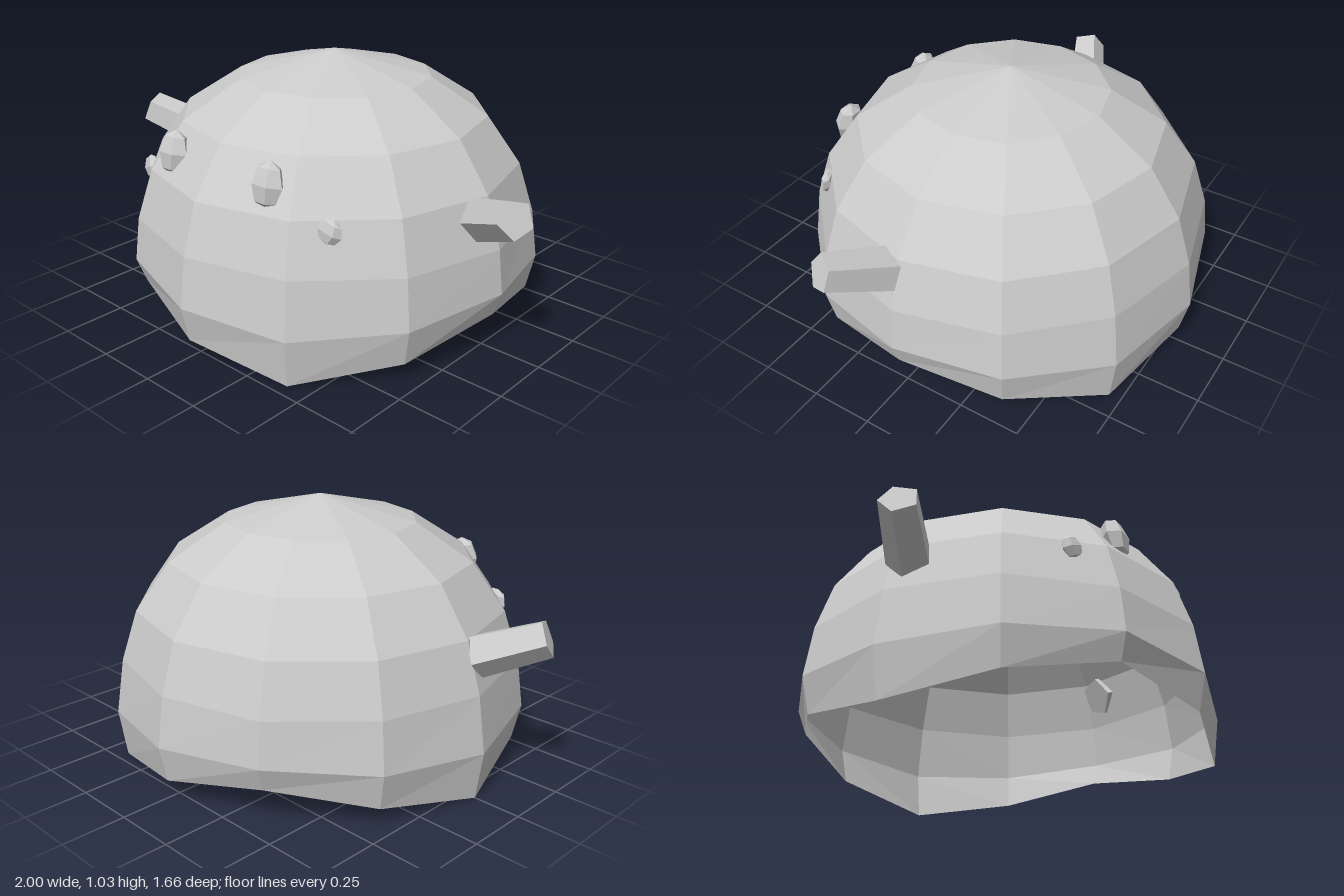
import * as THREE from 'three';

const SIDES = 12;

function material(side = THREE.FrontSide) {
  return new THREE.MeshStandardMaterial({ color: 0xcccccc, flatShading: true, side });
}

// Open shell of 12-sided rings; the lowest rings wave three times around.
function domeGeometry() {
  // [radius, height, radius wave, height wave], top to bottom
  const rings = [
    [0.385, 0.935, 0, 0],
    [0.61, 0.79, 0, 0],
    [0.742, 0.605, 0, 0],
    [0.805, 0.41, 0, 0],
    [0.832, 0.213, -0.006, 0.023],
    [0.8, 0.07, -0.01, 0.07],
  ];
  const positions = [0, 1.03, 0];
  const index = [];
  rings.forEach(([r, y, dr, dy], j) => {
    for (let k = 0; k < SIDES; k++) {
      const a = (k / SIDES) * Math.PI * 2;
      const wave = Math.cos(3 * a);
      const radius = r + dr * wave;
      positions.push(radius * Math.cos(a), y + dy * wave, radius * Math.sin(a));
      const next = (k + 1) % SIDES;
      const c = 1 + j * SIDES + k, d = 1 + j * SIDES + next;
      if (j === 0) index.push(0, d, c);
      else index.push(c - SIDES, d - SIDES, d, c - SIDES, d, c);
    }
  });
  const geometry = new THREE.BufferGeometry();
  geometry.setAttribute('position', new THREE.Float32BufferAttribute(positions, 3));
  geometry.setIndex(index);
  geometry.computeVertexNormals();
  return geometry;
}

// Tapered five-sided peg pointing outward, up and forward.
function horn(side) {
  const base = new THREE.Vector3(side * 0.735, 0.534, 0.055);
  const tip = new THREE.Vector3(side * 0.962, 0.63, 0.17);
  const axis = tip.clone().sub(base);
  const length = axis.length();
  axis.normalize();
  const up = new THREE.Vector3(0, 1, 0).addScaledVector(axis, -axis.y).normalize();
  const across = axis.clone().cross(up);
  const geometry = new THREE.CylinderGeometry(0.073, 0.087, length, 5, 1, false, THREE.MathUtils.degToRad(22));
  const mesh = new THREE.Mesh(geometry, material());
  mesh.quaternion.setFromRotationMatrix(new THREE.Matrix4().makeBasis(across, axis, up));
  mesh.position.copy(base).lerp(tip, 0.5);
  return mesh;
}

// Faceted ellipsoid set into the dome.
function bead(segments, rings, radii, position, rotation) {
  const geometry = new THREE.SphereGeometry(1, segments, rings).scale(...radii);
  const mesh = new THREE.Mesh(geometry, material());
  mesh.position.set(...position);
  mesh.rotation.set(...rotation);
  return mesh;
}

export function createModel() {
  const model = new THREE.Group();
  const add = (name, mesh) => {
    mesh.name = name;
    model.add(mesh);
  };

  add('dome', new THREE.Mesh(domeGeometry(), material(THREE.DoubleSide)));

  for (const side of [1, -1]) {
    const label = side > 0 ? 'left' : 'right';
    add(label + 'Horn', horn(side));
    add(label + 'Eye', bead(6, 4, [0.07, 0.087, 0.05], [side * 0.25, 0.7, 0.622], [-0.2, 0, 0]));
    add(label + 'Cheek', bead(6, 4, [0.053, 0.048, 0.026], [side * 0.475, 0.57, 0.558], [-0.1, side * 0.25, -side * 0.35]));
  }
  return model;
}
